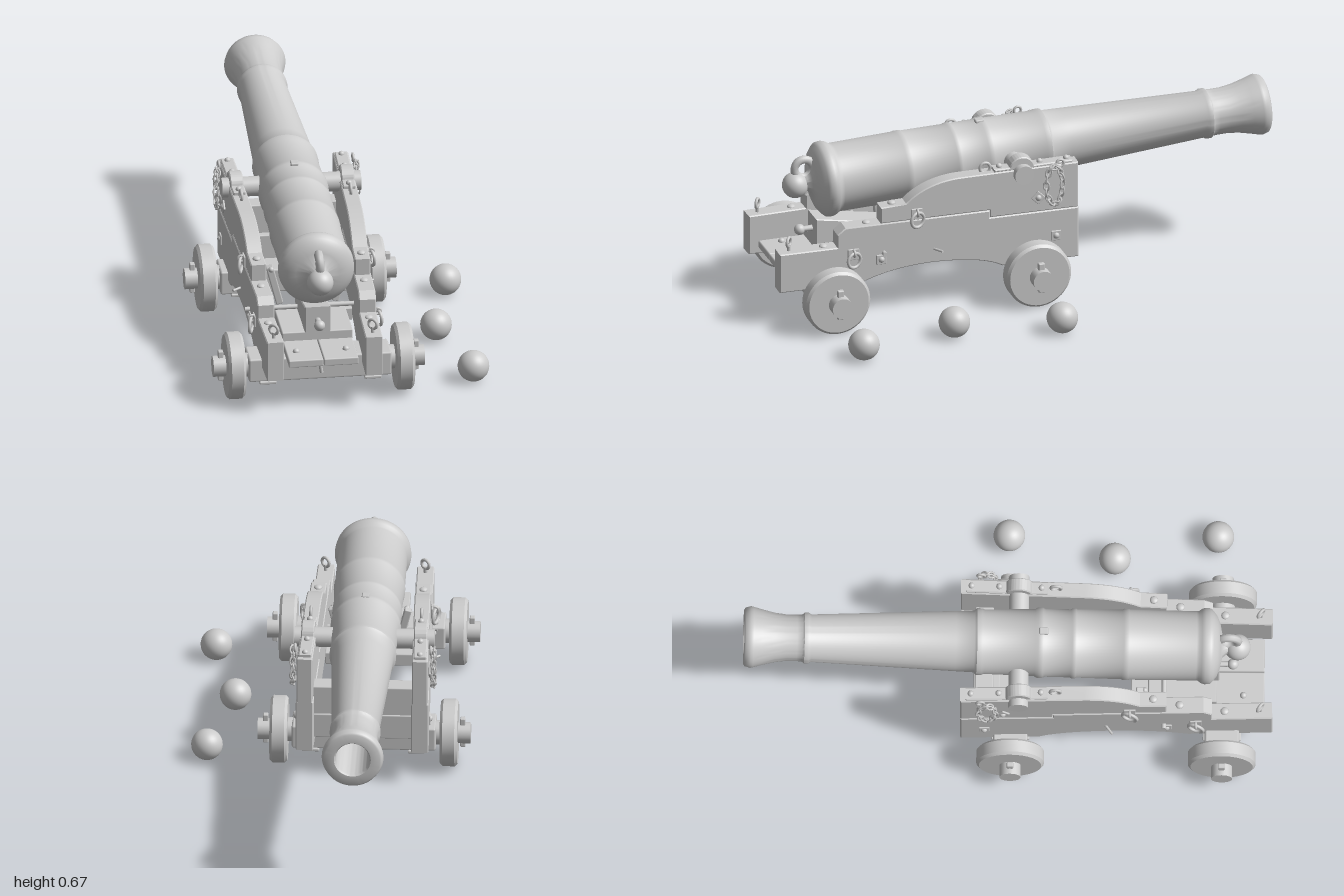
import * as THREE from 'three';
import { toCreasedNormals } from 'three/addons/utils/BufferGeometryUtils.js';
import { RoundedBoxGeometry } from 'three/addons/geometries/RoundedBoxGeometry.js';

const mat = new THREE.MeshStandardMaterial({ color: 0xcccccc });

function add(parent, name, geo, x = 0, y = 0, z = 0) {
  const m = new THREE.Mesh(geo, mat);
  m.name = name;
  m.position.set(x, y, z);
  parent.add(m);
  return m;
}
const box = (w, h, d, r = 0.005) => new RoundedBoxGeometry(w, h, d, 1, r);
const rodX = (r, len, n = 24) => new THREE.CylinderGeometry(r, r, len, n).rotateZ(Math.PI / 2);
const ringX = (r, t, n = 20) => new THREE.TorusGeometry(r, t, 8, n).rotateY(Math.PI / 2);

// Side profile drawn as (z, y), extruded across x and centred
function slab(shape, width) {
  const b = 0.004;
  const g = new THREE.ExtrudeGeometry(shape, {
    depth: width - 2 * b, bevelEnabled: true, bevelSize: b, bevelOffset: -b,
    bevelThickness: b, bevelSegments: 1, curveSegments: 20,
  });
  return toCreasedNormals(g.translate(0, 0, b - width / 2).rotateY(-Math.PI / 2), 0.5);
}

function makeBarrel() {
  const barrel = new THREE.Group();
  barrel.name = 'barrel';
  // radius, distance towards the muzzle
  const profile = [
    [0, -0.86], [0.025, -0.85], [0.032, -0.825], [0.045, -0.81], [0.085, -0.802], [0.115, -0.79], [0.134, -0.775],
    [0.143, -0.765], [0.145, -0.745], [0.14, -0.73], [0.132, -0.72], [0.131, -0.71],
    [0.133, -0.46], [0.135, -0.455], [0.135, -0.435], [0.132, -0.43],
    [0.129, -0.26], [0.132, -0.255], [0.132, -0.24], [0.129, -0.235],
    [0.128, -0.14], [0.133, -0.13], [0.133, -0.11], [0.127, -0.1],
    [0.122, 0.09], [0.126, 0.1], [0.126, 0.12], [0.117, 0.13],
    [0.114, 0.2], [0.09, 0.745], [0.096, 0.755], [0.096, 0.772], [0.089, 0.78],
    [0.088, 0.8], [0.088, 0.84], [0.094, 0.885], [0.105, 0.93], [0.115, 0.965],
    [0.117, 0.975], [0.111, 0.995], [0.104, 1.0], [0.07, 1.0], [0.064, 0.99], [0.062, 0.4], [0, 0.38],
  ].map(([r, t]) => new THREE.Vector2(r, t));
  add(barrel, 'barrelBody', toCreasedNormals(new THREE.LatheGeometry(profile, 64).rotateX(-Math.PI / 2), 0.7));
  add(barrel, 'breechKnob', new THREE.SphereGeometry(0.05, 32, 20), 0, -0.005, 0.868);
  add(barrel, 'breechLoop', ringX(0.036, 0.016, 32), 0, 0.058, 0.832);
  add(barrel, 'trunnion', rodX(0.038, 0.53, 32), 0, -0.002, 0.04);
  add(barrel, 'ventPatch', box(0.03, 0.016, 0.035), 0, 0.13, 0.13);
  barrel.position.y = 0.519;
  barrel.rotation.x = 0.037;
  return barrel;
}

function makeWheelSet(z) {
  const set = new THREE.Group();
  set.name = 'axleAndWheels';
  set.position.set(0, 0.132, z);
  add(set, 'axleBeam', box(0.545, 0.095, 0.13, 0.008));
  add(set, 'axleRod', rodX(0.04, 0.806));
  const rim = [[0.036, -0.033], [0.118, -0.033], [0.128, -0.023], [0.128, 0.023], [0.118, 0.033], [0.036, 0.033]]
    .map(([r, t]) => new THREE.Vector2(r, t));
  const wheelGeo = toCreasedNormals(new THREE.LatheGeometry(rim, 48).rotateZ(Math.PI / 2), 0.5);
  for (const s of [-1, 1]) {
    add(set, 'wheel', wheelGeo, s * 0.322, 0, 0);
    add(set, 'linchpin', box(0.02, 0.12, 0.025, 0.004), s * 0.373, 0.004, 0);
    add(set, 'axleCollar', rodX(0.046, 0.022), s * 0.278, 0, 0);
    add(set, 'axleStrap', box(0.065, 0.012, 0.145, 0.004), s * 0.2, -0.05, 0);
    for (const dz of [-0.045, 0.045])
      add(set, 'strapBolt', new THREE.SphereGeometry(0.011, 10, 8), s * 0.2, -0.055, dz);
  }
  return set;
}

// Alternating links hung in a long loop
function makeChain(x, y, z) {
  const chain = new THREE.Group();
  chain.name = 'chain';
  const link = new THREE.TorusGeometry(0.011, 0.0035, 6, 12).scale(1, 1.5, 1);
  const n = 16;
  for (let i = 0; i < n; i++) {
    const a = (i / n) * Math.PI * 2;
    const l = add(chain, 'chainLink', link, 0, 0.075 * Math.cos(a), 0.032 * Math.sin(a));
    l.rotation.order = 'XYZ';
    l.rotation.set(Math.atan2(0.032 * Math.cos(a), -0.075 * Math.sin(a)), i % 2 ? 0.5 : 2.0, 0);
  }
  chain.position.set(x, y, z);
  return chain;
}

function makeCheek(s) {
  const cheek = new THREE.Group();
  cheek.name = s > 0 ? 'leftCheek' : 'rightCheek';
  cheek.position.set(s * 0.203, 0, 0.41);
  cheek.rotation.y = -s * 0.026;
  const inner = new THREE.Group();
  inner.position.z = -0.41;
  cheek.add(inner);

  // Lower plank with the arched underside and stepped rear
  const low = new THREE.Shape();
  low.moveTo(1.0, 0.145); low.lineTo(1.0, 0.303); low.lineTo(0.772, 0.303); low.lineTo(0.772, 0.355);
  low.lineTo(0.74, 0.38); low.lineTo(0.17, 0.38); low.lineTo(0.17, 0.35); low.lineTo(-0.18, 0.35);
  low.lineTo(-0.18, 0.145); low.lineTo(0.12, 0.145);
  low.quadraticCurveTo(0.2, 0.193, 0.4, 0.195);
  low.quadraticCurveTo(0.56, 0.193, 0.68, 0.145);
  add(inner, 'lowerPlank', slab(low, 0.066));

  // Upper plank with a rounded shoulder
  const up = new THREE.Shape();
  up.moveTo(0.6, 0.38); up.lineTo(0.6, 0.445); up.lineTo(0.5, 0.45);
  up.quadraticCurveTo(0.42, 0.525, 0.29, 0.53);
  up.lineTo(-0.18, 0.535); up.lineTo(-0.18, 0.35); up.lineTo(0.17, 0.35); up.lineTo(0.17, 0.38);
  add(inner, 'upperPlank', slab(up, 0.06));

  // Strap arched over the trunnion
  const cap = new THREE.Shape();
  cap.moveTo(0.15, 0.53); cap.lineTo(0.15, 0.542); cap.lineTo(0.095, 0.542);
  cap.absarc(0.04, 0.53, 0.05, 0.25, Math.PI - 0.25, false);
  cap.lineTo(-0.16, 0.545); cap.lineTo(-0.16, 0.53);
  add(inner, 'trunnionCap', slab(cap, 0.05));
  for (const z of [0.125, -0.035, -0.14])
    add(inner, 'capBolt', new THREE.SphereGeometry(0.012, 12, 8), 0, 0.545, z);

  // Rings, eyebolts and plates
  const out = s * 0.035;
  for (const [y, z] of [[0.385, 0.46], [0.25, 0.71]]) {
    add(inner, 'boltPlate', box(0.008, 0.045, 0.045, 0.003), out, y + 0.02, z);
    add(inner, 'ringEye', new THREE.TorusGeometry(0.012, 0.005, 8, 14), s * 0.045, y + 0.028, z);
    add(inner, 'hangingRing', ringX(0.029, 0.0065, 24), s * 0.048, y, z).rotation.y = s * 0.35;
  }
  for (const [y, z] of [[0.235, 0.6], [0.245, -0.09], [0.41, -0.02]]) {
    add(inner, 'boltPlate', box(0.008, 0.04, 0.04, 0.003), out, y, z).rotation.x = y > 0.4 ? 0.8 : 0;
    add(inner, 'sideBolt', new THREE.SphereGeometry(0.013, 12, 8), out, y, z);
  }
  add(inner, 'sideHook', rodX(0.005, 0.05, 8), s * 0.045, 0.25, 0.38).rotation.y = 0.6;
  inner.add(makeChain(s * 0.05, 0.46, -0.08));
  add(inner, 'chainEye', ringX(0.014, 0.005), s * 0.04, 0.545, -0.105);
  add(inner, 'topEyebolt', ringX(0.02, 0.006), 0, 0.545, 0.18);
  add(inner, 'rearEyeStem', new THREE.CylinderGeometry(0.007, 0.007, 0.03, 10), 0, 0.312, 0.955);
  add(inner, 'rearEyebolt', ringX(0.018, 0.006), 0, 0.338, 0.955).rotation.y = 0.9;
  for (const [y, z] of [[0.303, 0.82], [0.38, 0.65], [0.449, 0.55]])
    add(inner, 'topBolt', new THREE.SphereGeometry(0.016, 12, 8).scale(1, 0.6, 1), 0, y, z);
  return cheek;
}

function makeBed() {
  const bed = new THREE.Group();
  bed.name = 'bed';
  for (const s of [-1, 1]) {
    add(bed, 'bedPlank', box(0.132, 0.03, 0.5), s * 0.067, 0.195, 0.72);
    add(bed, 'plankBolt', new THREE.SphereGeometry(0.013, 12, 8), s * 0.095, 0.211, 0.89);
    const post = add(bed, 'slantedBatten', box(0.028, 0.16, 0.03), s * 0.125, 0.315, 0.5);
    post.rotation.z = -s * 0.25;
    add(bed, 'battenBolt', new THREE.SphereGeometry(0.011, 12, 8), s * 0.14, 0.385, 0.518);
  }
  add(bed, 'stool', box(0.27, 0.04, 0.26), 0, 0.225, 0.66);
  add(bed, 'bedCrossBeam', box(0.34, 0.05, 0.07), 0, 0.19, 0.5);
  // Wedge under the breech with its handle
  const w = new THREE.Shape();
  w.moveTo(0.8, 0.245); w.lineTo(0.8, 0.35); w.lineTo(0.52, 0.3); w.lineTo(0.52, 0.245);
  add(bed, 'wedge', slab(w, 0.1));
  add(bed, 'wedgeStem', new THREE.CylinderGeometry(0.01, 0.012, 0.05, 12).rotateX(Math.PI / 2), 0, 0.295, 0.82);
  add(bed, 'wedgeKnob', new THREE.SphereGeometry(0.021, 16, 12), 0, 0.295, 0.85);
  // Stepped front transom
  add(bed, 'transom', box(0.38, 0.12, 0.07), 0, 0.33, -0.09);
  add(bed, 'transomLower', box(0.38, 0.1, 0.1), 0, 0.225, -0.08);
  add(bed, 'crossRod', rodX(0.009, 0.5, 12), 0, 0.26, 0.59);
  add(bed, 'rearHook', new THREE.CylinderGeometry(0.007, 0.007, 0.045, 10), 0, 0.137, 0.882).rotation.z = 0.15;
  return bed;
}

export function createModel() {
  const model = new THREE.Group();
  model.name = 'cannon';
  const gun = new THREE.Group();
  gun.name = 'gunAndCarriage';
  gun.position.x = -0.13;
  model.add(gun);
  gun.add(makeBarrel(), makeCheek(-1), makeCheek(1), makeBed(), makeWheelSet(0.01), makeWheelSet(0.81));
  // Loose shot on the ground
  for (const [x, z] of [[0.465, 0], [0.375, 0.4], [0.465, 0.79]])
    add(model, 'cannonBall', new THREE.SphereGeometry(0.06, 32, 20), x, 0.064, z);
  return model;
}
